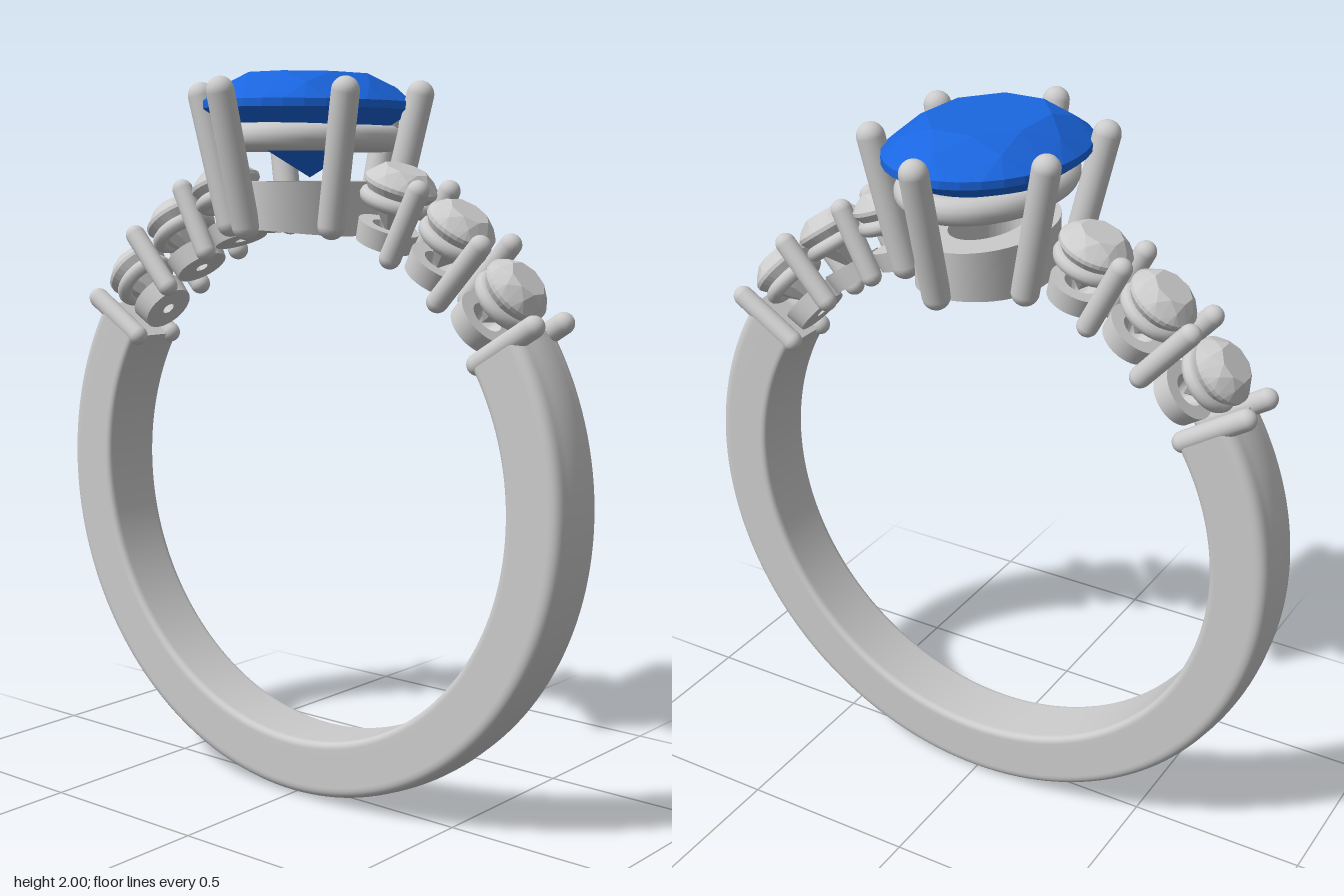
import * as THREE from 'three';
import { toCreasedNormals } from 'three/addons/utils/BufferGeometryUtils.js';
import { ConvexGeometry } from 'three/addons/geometries/ConvexGeometry.js';

const CENTRE = 0.88, INNER = 0.71, OUTER = 0.877;
const rad = THREE.MathUtils.degToRad;
const metal = new THREE.MeshStandardMaterial({ color: 0xcccccc });
const thinMetal = new THREE.MeshStandardMaterial({ color: 0xcccccc, side: THREE.DoubleSide });
const clear = new THREE.MeshStandardMaterial({ color: 0xcccccc, flatShading: true });
const blue = new THREE.MeshStandardMaterial({ color: 0x1a66e0, flatShading: true });

function add(parent, name, geometry, material = metal) {
  const mesh = new THREE.Mesh(geometry, material);
  mesh.name = name;
  parent.add(mesh);
  return mesh;
}

// Faceted stone: table, crown, girdle, pavilion and culet; y = 0 at the girdle
function gemGeometry(rx, rz, crown, pavilion, table) {
  const points = [];
  const ring = (n, scale, y, turn = 0) => {
    for (let i = 0; i < n; i++) {
      const a = ((i + turn) / n) * Math.PI * 2;
      points.push(new THREE.Vector3(Math.cos(a) * rx * scale, y, Math.sin(a) * rz * scale));
    }
  };
  const band = crown * 0.12;
  ring(8, table, crown, 0.5);
  ring(8, (1 + table) / 2 + 0.02, crown * 0.62);
  ring(32, 1, band);
  ring(32, 1, -band);
  ring(8, 0.5, -pavilion * 0.56, 0.5);
  points.push(new THREE.Vector3(0, -pavilion, 0));
  return new ConvexGeometry(points);
}

// Round-ended rod between two points
function rod(parent, name, from, to, radius) {
  const axis = to.clone().sub(from);
  const mesh = add(parent, name, new THREE.CapsuleGeometry(radius, axis.length() - 2 * radius, 8, 20));
  mesh.position.copy(from).add(to).multiplyScalar(0.5);
  mesh.quaternion.setFromUnitVectors(new THREE.Vector3(0, 1, 0), axis.normalize());
}

// Group whose local +y points out of the ring at the given angle
function spoke(parent, name, degrees) {
  const group = new THREE.Group();
  group.name = name;
  group.position.y = CENTRE;
  group.rotation.z = rad(degrees - 90);
  parent.add(group);
  return group;
}

function buildShank(ring) {
  // Cross-section: x is radius, y is band width; flatter inside, softer outside
  const w = 0.095, a = 0.02, b = 0.04;
  const section = new THREE.Shape();
  section.moveTo(INNER, 0);
  section.lineTo(INNER, -w + a);
  section.quadraticCurveTo(INNER, -w, INNER + a, -w);
  section.lineTo(OUTER - b, -w);
  section.quadraticCurveTo(OUTER - 0.006, -w, OUTER - 0.006, -w + b);
  section.quadraticCurveTo(OUTER + 0.006, 0, OUTER - 0.006, w - b);
  section.quadraticCurveTo(OUTER - 0.006, w, OUTER - b, w);
  section.lineTo(INNER + a, w);
  section.quadraticCurveTo(INNER, w, INNER, w - a);
  section.lineTo(INNER, 0);
  const band = new THREE.LatheGeometry(section.getPoints(8), 120, rad(57.5), rad(245));
  band.rotateX(-Math.PI / 2);
  add(ring, 'shank', band).position.y = CENTRE;
  for (const degrees of [32.5, 147.5]) {
    const cap = new THREE.ShapeGeometry(section, 8).rotateX(-Math.PI / 2).rotateZ(rad(degrees));
    add(ring, 'shankEnd', cap, thinMetal).position.y = CENTRE;
  }
}

function buildShoulder(ring, side) {
  const angle = (d) => (side > 0 ? d : 180 - d);
  // Small round stones, each over a seat ring and a pierced base
  [[40.2, 0.093], [55.2, 0.096], [69.3, 0.099]].forEach(([degrees, r]) => {
    const setting = spoke(ring, 'sideSetting', angle(degrees));
    add(setting, 'sideStone', gemGeometry(r, r, 0.045, 0.135, 0.58), clear).position.y = 0.883;
    const seat = new THREE.TorusGeometry(r - 0.02, 0.021, 10, 36).rotateX(Math.PI / 2);
    add(setting, 'sideSeat', seat).position.y = 0.838;
    const profile = [[0.018, 0.715], [0.075, 0.715], [0.083, 0.77], [0.045, 0.77], [0.018, 0.715]];
    const base = new THREE.LatheGeometry(profile.map(([x, y]) => new THREE.Vector2(x, y)), 36);
    add(setting, 'sideBase', toCreasedNormals(base, 0.6));
  });
  // Paired prongs between the stones
  for (const degrees of [32.3, 48, 62.8]) {
    const pair = spoke(ring, 'sideProngs', angle(degrees));
    for (const z of [-0.068, 0.068]) {
      rod(pair, 'sideProng', new THREE.Vector3(0, 0.69, z), new THREE.Vector3(0, 0.94, z), 0.029);
    }
  }
}

function buildHead(ring) {
  const head = new THREE.Group();
  head.name = 'head';
  ring.add(head);

  // Oval base with an oval opening, its underside following the finger hole
  const oval = new THREE.Shape().absellipse(0, 0, 0.165, 0.25, 0, Math.PI * 2);
  oval.holes.push(new THREE.Path().absellipse(0, 0, 0.085, 0.15, 0, Math.PI * 2, true));
  const base = new THREE.ExtrudeGeometry(oval, { depth: 0.125, bevelEnabled: false, curveSegments: 48 });
  base.rotateX(-Math.PI / 2).translate(0, 1.59, 0);
  const p = base.attributes.position;
  for (let i = 0; i < p.count; i++) {
    if (p.getY(i) < 1.6) p.setY(i, CENTRE + Math.sqrt(INNER ** 2 - p.getX(i) ** 2));
  }
  add(head, 'headBase', toCreasedNormals(base, 0.6));

  // Oval rail under the stone
  const path = [];
  for (let i = 0; i < 48; i++) {
    const a = (i / 48) * Math.PI * 2;
    path.push(new THREE.Vector3(Math.cos(a) * 0.178, 1.83, Math.sin(a) * 0.265));
  }
  const curve = new THREE.CatmullRomCurve3(path, true);
  add(head, 'headRail', new THREE.TubeGeometry(curve, 96, 0.036, 14, true));

  // Six flaring prongs
  const prong = (x0, z0, x1, z1) =>
    rod(head, 'headProng', new THREE.Vector3(x0, 1.565, z0), new THREE.Vector3(x1, 1.98, z1), 0.037);
  for (const s of [-1, 1]) {
    prong(0, s * 0.25, 0, s * 0.362);
    for (const x of [-1, 1]) prong(x * 0.172, s * 0.122, x * 0.26, s * 0.162);
  }

  // Large oval stone
  add(head, 'centreStone', gemGeometry(0.25, 0.325, 0.085, 0.19, 0.6), blue).position.y = 1.915;
}

export function createModel() {
  const ring = new THREE.Group();
  ring.name = 'ring';
  buildShank(ring);
  for (const side of [1, -1]) buildShoulder(ring, side);
  buildHead(ring);
  return ring;
}
